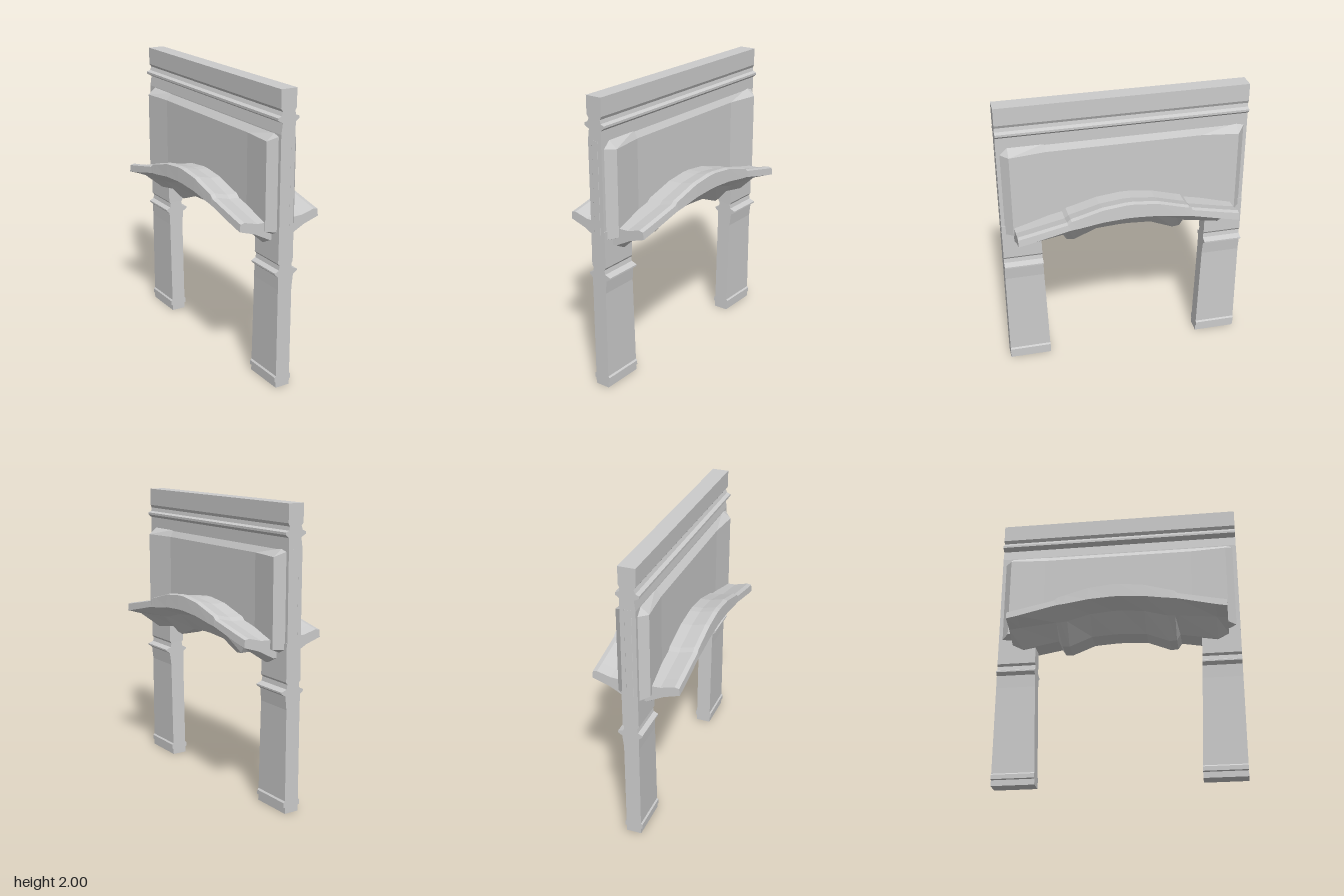
import * as THREE from 'three';

const material = new THREE.MeshStandardMaterial({ color: 0xcccccc, flatShading: true });

// Closed skin through counter-clockwise rings [[x, y, z], ...], ordered from +z to -z
function loft(rings) {
  const pos = [];
  const n = rings[0].length;
  const tri = (...points) => points.forEach((p) => pos.push(...p));
  for (let i = 0; i < rings.length - 1; i++) {
    for (let j = 0; j < n; j++) {
      const k = (j + 1) % n;
      const a = rings[i][j], b = rings[i][k], c = rings[i + 1][j], d = rings[i + 1][k];
      tri(a, c, b);
      tri(b, c, d);
    }
  }
  const last = rings[rings.length - 1];
  const flat = (r) => r.map(([x, y]) => new THREE.Vector2(x, y));
  THREE.ShapeUtils.triangulateShape(flat(rings[0]), [])
    .forEach(([a, b, c]) => tri(rings[0][a], rings[0][b], rings[0][c]));
  THREE.ShapeUtils.triangulateShape(flat(last), [])
    .forEach(([a, b, c]) => tri(last[a], last[c], last[b]));
  const g = new THREE.BufferGeometry();
  g.setAttribute('position', new THREE.Float32BufferAttribute(pos, 3));
  g.computeVertexNormals();
  return g;
}

// Moulded wall section from rows [height, +x face, -x face], swept along z
function moulding(rows, depth) {
  const right = rows.map(([y, r]) => new THREE.Vector2(r, y));
  const left = rows.map(([y, , l]) => new THREE.Vector2(l, y)).reverse();
  return new THREE.ExtrudeGeometry(new THREE.Shape([...right, ...left]), { depth, bevelEnabled: false });
}

function upperWall() {
  return moulding([
    [1.12, 0.045, -0.06], [1.72, 0.045, -0.06], [1.79, 0.045, -0.05],
    [1.81, 0.07, -0.085], [1.825, 0.07, -0.085], [1.835, 0.045, -0.06],
    [1.86, 0.04, -0.05], [1.88, 0.05, -0.065], [2, 0.05, -0.065],
  ], 1.7).translate(0, 0, -0.85);
}

// Leg whose inner face leans in towards the floor; side is +1 or -1
function leg(side) {
  const g = moulding([
    [0, 0.045, -0.06], [0.04, 0.045, -0.06], [0.045, 0.055, -0.07], [0.075, 0.055, -0.07],
    [0.085, 0.045, -0.06], [0.7, 0.045, -0.06], [0.79, 0.055, -0.062],
    [0.81, 0.085, -0.085], [0.82, 0.085, -0.085], [0.835, 0.045, -0.055],
    [0.865, 0.04, -0.05], [0.88, 0.05, -0.062], [1.13, 0.05, -0.06],
  ], 1);
  const p = g.attributes.position;
  for (let i = 0; i < p.count; i++) {
    const inner = 0.555 + 0.03 * Math.min(p.getY(i) / 0.98, 1);
    const t = p.getZ(i);
    p.setZ(i, side > 0 ? inner + (0.85 - inner) * t : -0.85 + (0.85 - inner) * t);
  }
  g.computeVertexNormals();
  return g;
}

// Thick panel with chamfered ends, stacked from plan outlines
function panel() {
  const plan = [[0.015, -0.851], [0.105, -0.775], [0.068, -0.53], [0.068, 0.53], [0.105, 0.775], [0.015, 0.851],
    [-0.03, 0.851], [-0.115, 0.775], [-0.095, 0.53], [-0.095, -0.53], [-0.115, -0.775], [-0.03, -0.851]];
  const ring = (height, l, r) => plan.map(([x, y]) => [THREE.MathUtils.clamp(x, l, r), y, height]);
  return loft([
    ring(1.72, -0.055, 0.04), ring(1.67, -1, 1), ring(1.085, -1, 1), ring(1.06, -0.06, 0.05),
  ]).rotateX(-Math.PI / 2);
}

// Arched canopy: stations [z, top, rim bottom, soffit fold, underside], mirrored about its middle
function canopy() {
  const middle = 0.012;
  const half = [
    [0.757, 1.17, 1.115, 1.08, 1.02], [0.68, 1.185, 1.13, 1.09, 0.98],
    [0.425, 1.24, 1.19, 1.115, 1.025], [0.4, 1.262, 1.195, 1.115, 0.985],
    [0.35, 1.275, 1.2, 1.12, 0.98], [0.19, 1.32, 1.225, 1.165, 1.045], [0.03, 1.338, 1.235, 1.18, 1.055],
  ];
  const stations = [...half, ...half.map(([z, ...h]) => [-z, ...h]).reverse()];
  return loft(stations.map(([z, top, rim, fold, under]) => {
    const side = [[0.075, under], [0.19, fold], [0.3, rim], [0.295, top - 0.006], [0.265, top], [0.17, top - 0.025], [0.06, top - 0.03]];
    const other = side.map(([x, y]) => [-x, y]).reverse();
    return [...side, ...other].map(([x, y]) => [x, y, z + middle]);
  }));
}

export function createModel() {
  const model = new THREE.Group();
  model.name = 'archedWall';
  const add = (name, geometry) => {
    const mesh = new THREE.Mesh(geometry, material);
    mesh.name = name;
    model.add(mesh);
  };
  add('upperWall', upperWall());
  add('frontLeg', leg(1));
  add('backLeg', leg(-1));
  add('panel', panel());
  add('canopy', canopy());
  return model;
}
